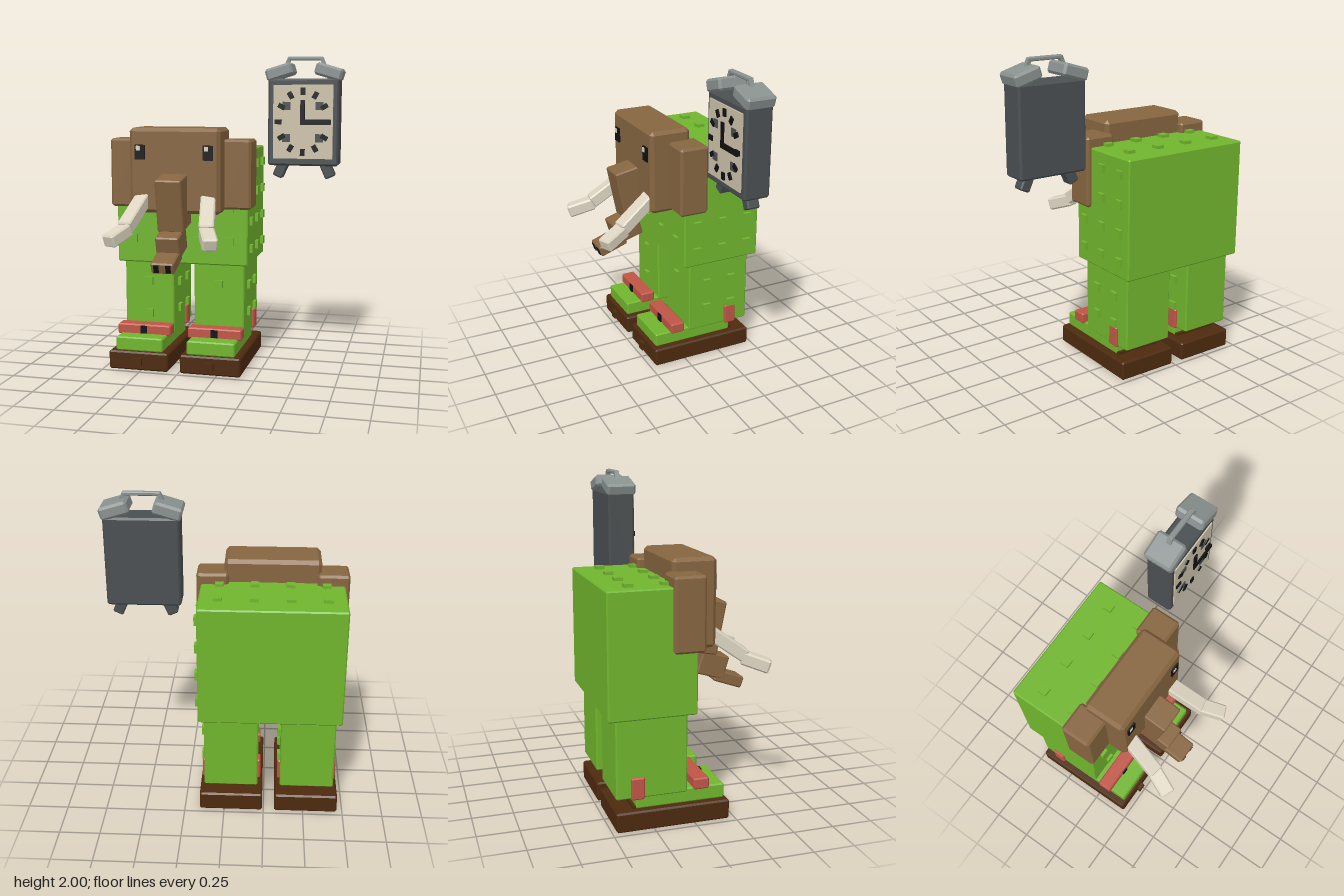
import * as THREE from 'three';
import { ConvexGeometry } from 'three/addons/geometries/ConvexGeometry.js';

const paint = (name, color) => {
  const m = new THREE.MeshStandardMaterial({ color });
  m.name = name;
  return m;
};

// Box with flat chamfered edges
function chamferBox(w, h, d, c) {
  const pts = [];
  for (const sx of [-1, 1]) for (const sy of [-1, 1]) for (const sz of [-1, 1]) {
    const x = sx * w / 2, y = sy * h / 2, z = sz * d / 2;
    pts.push(new THREE.Vector3(x, y - sy * c, z - sz * c));
    pts.push(new THREE.Vector3(x - sx * c, y, z - sz * c));
    pts.push(new THREE.Vector3(x - sx * c, y - sy * c, z));
  }
  return new ConvexGeometry(pts);
}

function block(parent, name, mat, size, pos, bevel = 0) {
  const geo = bevel ? chamferBox(...size, bevel) : new THREE.BoxGeometry(...size);
  const mesh = new THREE.Mesh(geo, mat);
  mesh.name = name;
  mesh.position.set(...pos);
  parent.add(mesh);
  return mesh;
}

function group(parent, name, x = 0, y = 0, z = 0) {
  const g = new THREE.Group();
  g.name = name;
  g.position.set(x, y, z);
  parent.add(g);
  return g;
}

// Square bar running from a to b
function bar(parent, name, mat, a, b, w, h, bevel) {
  const from = new THREE.Vector3(...a), to = new THREE.Vector3(...b);
  const mid = from.clone().add(to).multiplyScalar(0.5);
  const mesh = block(parent, name, mat, [w, h, from.distanceTo(to)], mid.toArray(), bevel);
  mesh.quaternion.setFromUnitVectors(new THREE.Vector3(0, 0, 1), new THREE.Vector3(0, 0, 1));
  const m = new THREE.Matrix4().lookAt(to, from, new THREE.Vector3(0, 1, 0));
  mesh.quaternion.setFromRotationMatrix(m);
  return mesh;
}

export function createModel() {
  const root = new THREE.Group();
  root.name = 'elephantWithClock';
  const green = paint('green', 0x70b52d);
  const brown = paint('brown', 0x866540);
  const sole = paint('dark brown', 0x4d2a0e);
  const red = paint('red', 0xbf5546);
  const ivory = paint('ivory', 0xdbd3c0);
  const slate = paint('dark grey', 0x4a4f51);
  const silver = paint('light grey', 0x89918f);
  const cream = paint('cream', 0xccc2aa);
  const black = paint('black', 0x101010);

  // Elephant, mirrored about its own centre line
  const el = group(root, 'elephant', -0.28);

  // Torso with raised studs on the front, top and left side
  block(el, 'torso', green, [0.87, 0.745, 0.53], [0, 1.048, -0.255], 0.008);
  for (const x of [-0.323, -0.108, 0.107, 0.321]) {
    for (const z of [-0.37, -0.153]) block(el, 'topStud', green, [0.052, 0.04, 0.052], [x, 1.42, z]);
    for (const y of [0.835, 1.045]) block(el, 'frontStud', green, [0.052, 0.052, 0.04], [x, y, 0.01]);
  }
  for (const z of [-0.075, -0.255, -0.435])
    for (const y of [0.78, 0.96, 1.14, 1.32])
      block(el, 'sideStud', green, [0.04, 0.052, 0.052], [0.435, y, z]);

  // Legs, feet, shoes and straps
  for (const s of [-1, 1]) {
    const leg = group(el, s < 0 ? 'rightLeg' : 'leftLeg', s * 0.2365);
    block(leg, 'shin', green, [0.333, 0.485, 0.43], [0, 0.437, -0.255], 0.008);
    block(leg, 'footTop', green, [0.313, 0.09, 0.545], [0, 0.17, -0.077], 0.008);
    block(leg, 'shoe', sole, [0.396, 0.12, 0.69], [0, 0.065, -0.13], 0.01);
    block(leg, 'shoeHeelRim', sole, [0.3, 0.02, 0.02], [0, 0.132, -0.36]);
    block(leg, 'shoeStud', sole, [0.052, 0.052, 0.05], [0, 0.064, 0.215]);
    block(leg, 'strap', red, [0.356, 0.07, 0.095], [0, 0.24, 0.045], 0.008);
    block(leg, 'buckle', black, [0.044, 0.05, 0.012], [0, 0.243, 0.094]);
    for (const t of [-1, 1])
      block(leg, 'strapTab', red, [0.03, 0.135, 0.08], [t * 0.168, 0.257, -0.342], 0.008);
    for (const y of [0.525, 0.345])
      for (const z of [-0.165, -0.345])
        block(leg, 'legSideStud', green, [0.04, 0.052, 0.052], [0.166, y, z]);
    for (const y of s < 0 ? [0.543, 0.325] : [0.543])
      block(leg, 'legFrontStud', green, [0.052, 0.052, 0.04], [0, y, -0.04]);
  }

  // Head, ears, eyes and tusks
  block(el, 'head', brown, [0.588, 0.535, 0.27], [0, 1.292, 0.037], 0.022);
  for (const s of [-1, 1]) {
    block(el, 'ear', brown, [0.195, 0.44, 0.19], [s * 0.365, 1.265, -0.045], 0.014);
    block(el, 'eye', black, [0.064, 0.092, 0.03], [s * 0.22, 1.408, 0.168]);
    block(el, 'eyeGlint', ivory, [0.026, 0.03, 0.006], [s * 0.22 - 0.01, 1.433, 0.184]);
    bar(el, 'tuskBase', ivory, [s * 0.21, 1.12, 0.13], [s * 0.257, 0.955, 0.365], 0.092, 0.08, 0.008);
    bar(el, 'tuskTip', ivory, [s * 0.252, 0.947, 0.35], [s * 0.317, 0.89, 0.505], 0.092, 0.08, 0.01);
  }

  // Trunk in three tilted segments: size, position, tilt
  const trunk = group(el, 'trunk');
  const segments = [
    [[0.168, 0.334, 0.193], [0, 1.1, 0.195], 0.19],
    [[0.15, 0.146, 0.181], [0, 0.853, 0.24], 0.29],
    [[0.145, 0.072, 0.19], [0, 0.755, 0.347], 0.34],
  ];
  let tip;
  for (const [size, pos, tilt] of segments) {
    tip = block(trunk, 'trunkSegment', brown, size, pos, 0.008);
    tip.rotation.x = tilt;
  }
  for (const s of [-1, 1]) block(tip, 'nostril', black, [0.032, 0.05, 0.01], [s * 0.038, 0, 0.095]);

  // Alarm clock floating beside the head
  const clock = group(root, 'alarmClock', 0.487, 1.595, -0.165);
  block(clock, 'clockCase', slate, [0.445, 0.545, 0.17], [0, -0.003, 0], 0.012);
  block(clock, 'clockFace', cream, [0.375, 0.46, 0.009], [0, 0, 0.089]);
  for (let k = 0; k < 12; k++) {
    const a = k * Math.PI / 6;
    const tick = block(clock, 'hourMark', black, [0.03, 0.045, 0.008],
      [0.155 * Math.sin(a), 0.19 * Math.cos(a), 0.098]);
    tick.rotation.z = -a;
  }
  block(clock, 'minuteHand', black, [0.028, 0.15, 0.009], [0, 0.06, 0.109]);
  block(clock, 'hourHand', black, [0.19, 0.034, 0.009], [0.08, 0, 0.11]);
  for (const s of [-1, 1]) {
    for (const t of [-1, 1]) block(clock, 'faceSquare', slate, [0.05, 0.05, 0.005], [s * 0.103, t * 0.1, 0.096]);
    const bell = block(clock, 'bell', silver, [0.172, 0.078, 0.187], [s * 0.155, 0.31, 0], 0.014);
    bell.rotation.z = -s * 0.29;
    const foot = block(clock, 'clockFoot', slate, [0.066, 0.1, 0.078], [s * 0.15, -0.305, 0], 0.008);
    foot.rotation.z = s * 0.42;
    const post = block(clock, 'handlePost', silver, [0.022, 0.05, 0.03], [s * 0.11, 0.375, 0]);
    post.rotation.z = s * 0.4;
  }
  block(clock, 'handle', silver, [0.225, 0.024, 0.032], [0, 0.393, 0], 0.006);

  return root;
}
